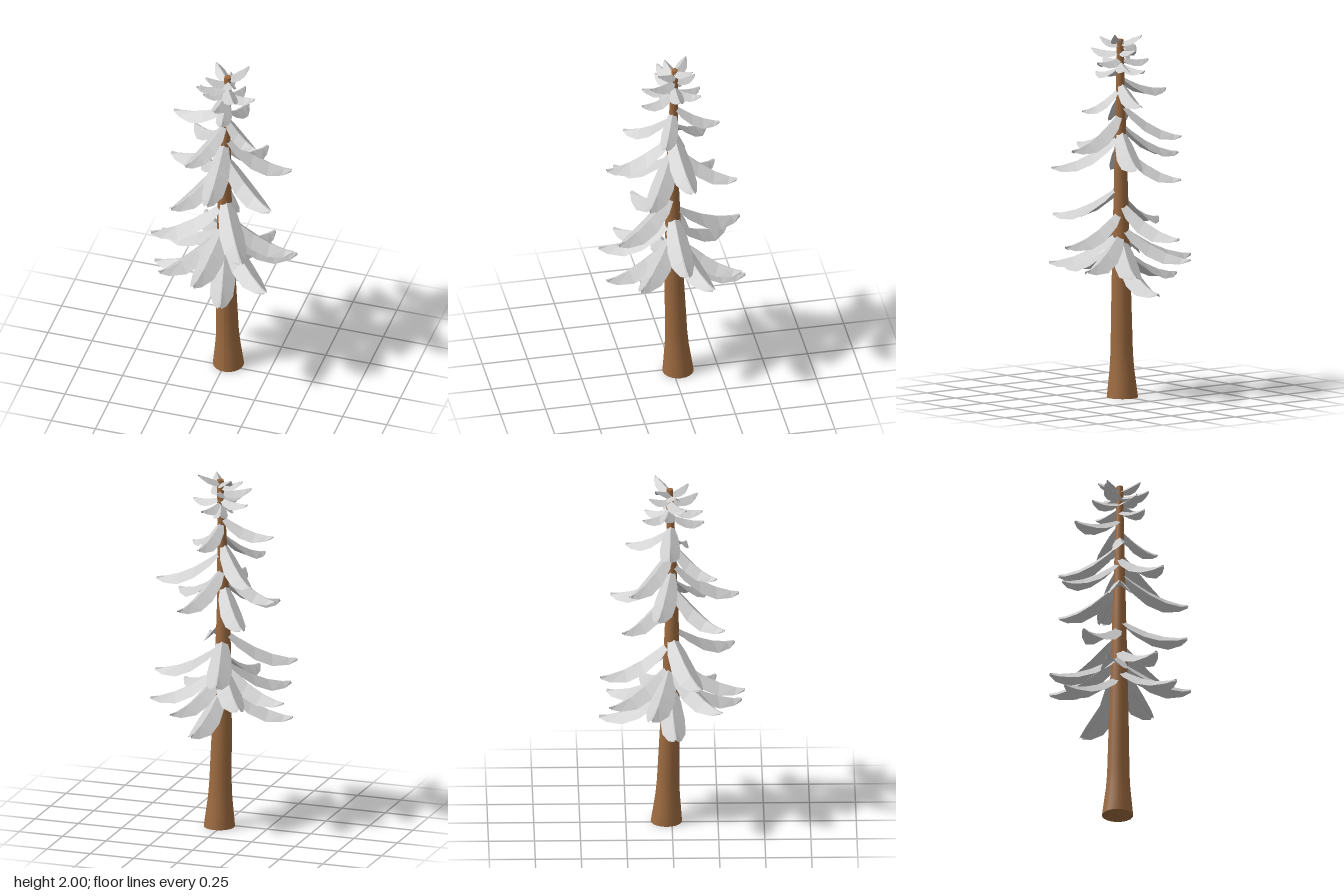
import * as THREE from 'three';

const BARK = new THREE.MeshStandardMaterial({ color: 0x9c6a40 });
const NEEDLES = new THREE.MeshStandardMaterial({ color: 0xcccccc, flatShading: true, side: THREE.DoubleSide });

// Trunk rings: height, radius, centre x, centre z
const TRUNK = [
  [0, 0.085, 0.015, -0.03], [0.2, 0.062, 0.013, -0.022], [0.6, 0.053, 0.007, -0.01],
  [1.2, 0.037, 0.002, 0], [1.6, 0.026, 0.008, -0.005], [1.96, 0.018, 0.016, -0.012],
];

// Branch tips: x, y, z, from the lowest tier to the crown
const LOWER = [
  [0.055, 0.61, -0.395], [-0.39, 0.65, 0.015], [0.09, 0.69, 0.38], [0.18, 0.71, -0.35],
  [0.365, 0.735, -0.16], [0.31, 0.74, 0.24], [-0.29, 0.77, 0.265], [-0.21, 0.77, -0.34],
  [-0.385, 0.765, -0.12], [-0.06, 0.81, 0.395], [0.39, 0.855, -0.01], [-0.09, 0.9, -0.39],
  [-0.37, 0.94, 0.15], [0.2, 0.985, 0.34],
];
const MIDDLE = [
  [-0.2, 1.205, -0.27], [-0.22, 1.225, 0.28], [0.325, 1.265, 0.195], [0.145, 1.295, -0.33],
  [-0.325, 1.325, -0.085], [0.01, 1.355, 0.365], [0.37, 1.385, -0.045], [-0.235, 1.435, -0.23],
  [-0.15, 1.5, 0.24], [0.205, 1.575, 0.08], [0.06, 1.625, -0.25], [-0.29, 1.67, -0.02],
];
const CROWN = [
  [0.035, 1.765, 0.175], [-0.035, 1.8, -0.16], [0.075, 1.815, -0.145], [0.17, 1.845, -0.01],
  [-0.15, 1.845, -0.045], [-0.01, 1.845, 0.165], [-0.095, 1.88, 0.075], [-0.14, 1.91, 0.055],
  [0.0, 1.91, -0.125], [0.095, 1.905, 0.138], [-0.1, 1.955, 0.022], [0.075, 1.97, 0.09],
  [0.115, 2, -0.09], [-0.072, 1.985, -0.09],
];

// Position along the branch and share of its full half width
const OUTLINE = [[0, 0.3], [0.18, 0.78], [0.42, 1], [0.66, 0.93], [0.88, 0.52], [1, 0.14]];

function trunkAt(y) {
  let i = 0;
  while (i < TRUNK.length - 2 && y > TRUNK[i + 1][0]) i++;
  const t = Math.min(1, (y - TRUNK[i][0]) / (TRUNK[i + 1][0] - TRUNK[i][0]));
  return TRUNK[i].map((v, k) => v + (TRUNK[i + 1][k] - v) * t);
}

// Tapered, slightly bent trunk
function makeTrunk() {
  const h = 1.96;
  const geo = new THREE.CylinderGeometry(1, 1, h, 20, 24);
  const p = geo.attributes.position;
  for (let i = 0; i < p.count; i++) {
    const y = p.getY(i) + h / 2;
    const [, r, cx, cz] = trunkAt(y);
    p.setXYZ(i, cx + p.getX(i) * r, y, cz + p.getZ(i) * r);
  }
  geo.computeVertexNormals();
  const mesh = new THREE.Mesh(geo, BARK);
  mesh.name = 'trunk';
  return mesh;
}

// Roof-shaped bough: narrow ridge with a sloping sheet hanging on each side
function makeBranch([tx, ty, tz]) {
  const [, , cx, cz] = trunkAt(ty);
  const len = Math.hypot(tx - cx, tz - cz);
  const dx = (tx - cx) / len, dz = (tz - cz) / len;
  // Low boughs droop, the topmost ones turn up
  const drop = ty < 1.5 ? 0.18 : THREE.MathUtils.mapLinear(ty, 1.5, 2, 0.16, -0.05);
  const half = 0.02 + 0.12 * len;
  const pos = [], index = [];
  OUTLINE.forEach(([t, w], i) => {
    const edge = half * w, ridge = 0.001 + 0.012 * len * t * t;
    const y = ty + drop * (1 - t) ** 1.35 - 0.045 * len * Math.sin(Math.PI * t);
    [-edge, -ridge, ridge, edge].forEach((s, j) => {
      const hang = j % 3 === 0 ? 0.72 * edge + 0.004 : 0;
      pos.push(cx + dx * len * t - dz * s, y - hang, cz + dz * len * t + dx * s);
      if (i < OUTLINE.length - 1 && j < 3) {
        const a = i * 4 + j;
        index.push(a, a + 1, a + 4, a + 1, a + 5, a + 4);
      }
    });
  });
  const geo = new THREE.BufferGeometry();
  geo.setAttribute('position', new THREE.Float32BufferAttribute(pos, 3));
  geo.setIndex(index);
  geo.computeVertexNormals();
  const mesh = new THREE.Mesh(geo, NEEDLES);
  mesh.name = 'branch';
  return mesh;
}

export function createModel() {
  const tree = new THREE.Group();
  tree.name = 'coniferTree';
  tree.add(makeTrunk());
  for (const [name, tips] of Object.entries({ lowerBranches: LOWER, middleBranches: MIDDLE, crownBranches: CROWN })) {
    const tier = new THREE.Group();
    tier.name = name;
    tips.forEach((tip) => tier.add(makeBranch(tip)));
    tree.add(tier);
  }
  return tree;
}
